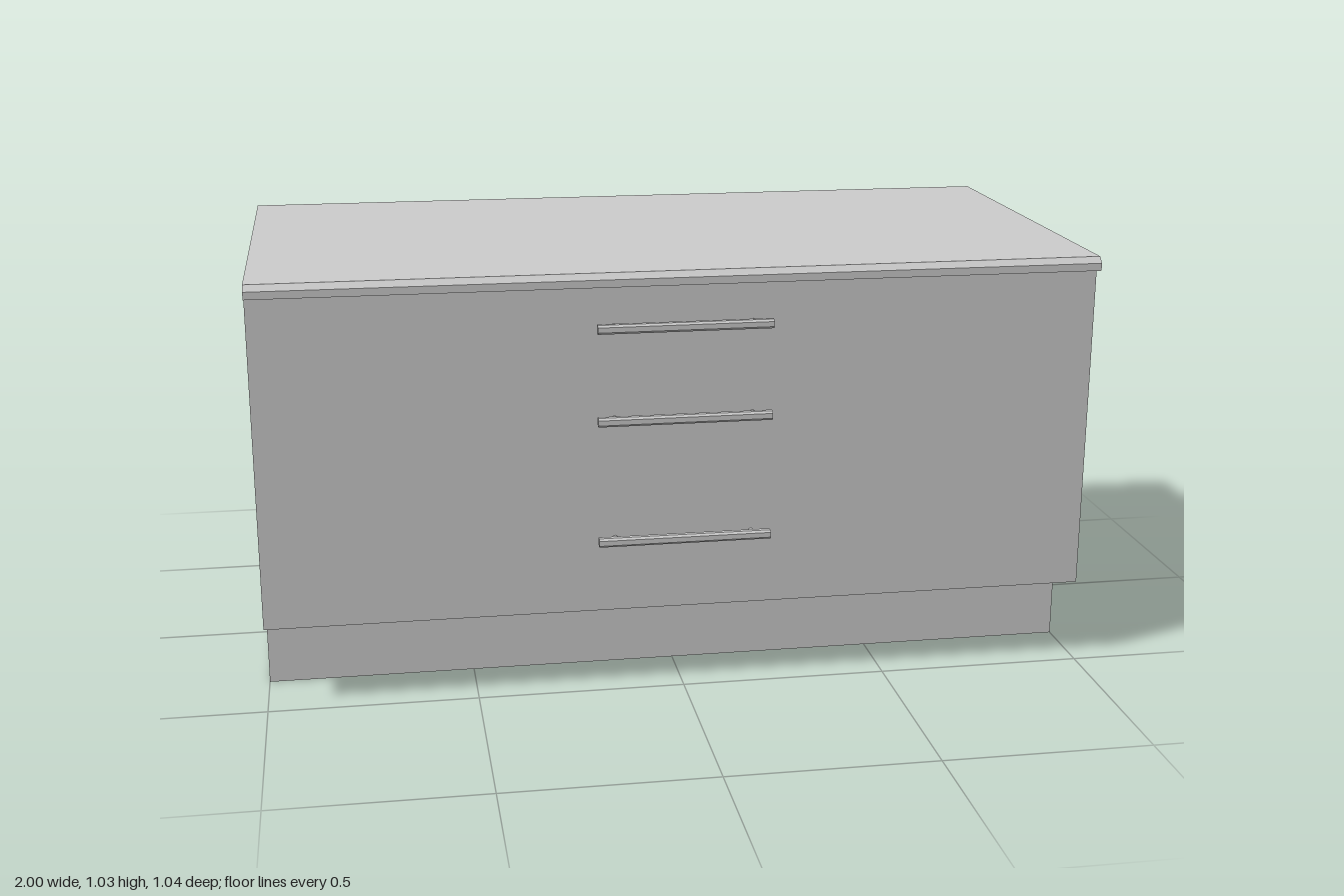
import * as THREE from 'three';

const grey = new THREE.MeshStandardMaterial({ color: 0xcccccc, flatShading: true, side: THREE.DoubleSide });

// Side outline as [z, y], from the back foot over the top to the front foot
const outline = [
  [-0.518, 0], [-0.518, 1.032], [0.496, 1.032], [0.51, 1.018], [0.51, 1.0],
  [0.48, 1.0], [0.48, 0.2], [0.325, 0.2], [0.325, 0],
];

function named(geometry, name) {
  const mesh = new THREE.Mesh(geometry, grey);
  mesh.name = name;
  return mesh;
}

// Flat panel spanning the full width between two outline points
function panel([z0, y0], [z1, y1]) {
  const g = new THREE.BufferGeometry();
  g.setAttribute('position', new THREE.Float32BufferAttribute(
    [-1, y0, z0, 1, y0, z0, 1, y1, z1, -1, y1, z1], 3));
  g.setIndex([0, 2, 1, 0, 3, 2]);
  g.computeVertexNormals();
  return named(g, '');
}

// Handle: a bar with softened corners on two short round posts
function handle(y) {
  const group = new THREE.Group();
  group.name = 'handle';
  const h = 0.011, c = 0.005, back = 0.5, front = 0.518;
  const section = new THREE.Shape([
    [-back, -h + 0.002], [-back - 0.002, -h], [-front + c, -h], [-front, -h + c],
    [-front, h - c], [-front + c, h], [-back - 0.002, h], [-back, h - 0.002],
  ].map(([a, b]) => new THREE.Vector2(a, b)));
  const bar = new THREE.ExtrudeGeometry(section, { depth: 0.414, bevelEnabled: false });
  bar.rotateY(Math.PI / 2).translate(-0.207, 0, 0);
  group.add(named(bar, 'handleBar'));
  for (const x of [-0.165, 0.165]) {
    const post = new THREE.CylinderGeometry(0.0065, 0.0065, 0.024, 16);
    post.rotateX(Math.PI / 2).translate(x, 0, 0.491);
    group.add(named(post, 'handlePost'));
  }
  group.position.y = y;
  return group;
}

export function createModel() {
  const model = new THREE.Group();
  model.name = 'drawerCabinet';

  // Thin shell, open at the bottom
  const names = ['backPanel', 'worktop', 'worktopBevel', 'worktopEdge', 'worktopUnderside',
    'drawerFront', 'recessUnderside', 'plinth'];
  names.forEach((name, i) => {
    const p = panel(outline[i], outline[i + 1]);
    p.name = name;
    model.add(p);
  });

  // Side panels cut to the outline
  const side = new THREE.Shape(outline.map(([z, y]) => new THREE.Vector2(-z, y)));
  for (const s of [-1, 1]) {
    // The right panel is mirrored so that it faces outwards
    const shape = s > 0 ? side : new THREE.Shape(outline.map(([z, y]) => new THREE.Vector2(z, y)));
    const g = new THREE.ShapeGeometry(shape);
    g.rotateY(s * Math.PI / 2).translate(s, 0, 0);
    model.add(named(g, s > 0 ? 'leftSide' : 'rightSide'));
  }

  for (const y of [0.902, 0.68, 0.383]) model.add(handle(y));
  return model;
}
